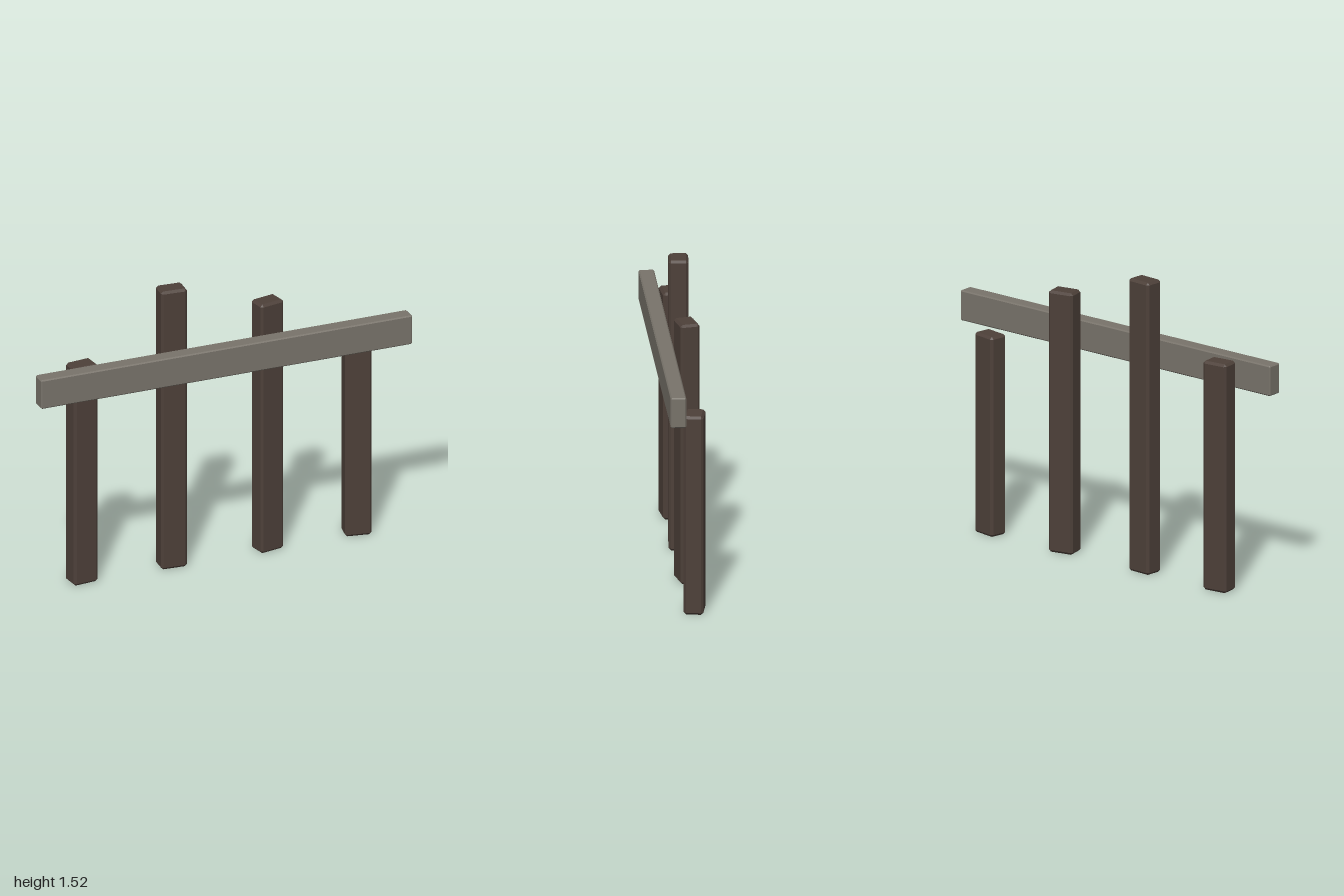
import * as THREE from 'three';
import { ConvexGeometry } from 'three/addons/geometries/ConvexGeometry.js';

// Box with flat chamfered edges: each corner gives three points
function chamferedBox(w, h, d, c) {
  const points = [];
  for (const sx of [-1, 1]) for (const sy of [-1, 1]) for (const sz of [-1, 1]) {
    const x = w / 2, y = h / 2, z = d / 2;
    points.push(
      new THREE.Vector3(sx * x, sy * (y - c), sz * (z - c)),
      new THREE.Vector3(sx * (x - c), sy * y, sz * (z - c)),
      new THREE.Vector3(sx * (x - c), sy * (y - c), sz * z)
    );
  }
  return new ConvexGeometry(points);
}

export function createModel() {
  const fence = new THREE.Group();
  fence.name = 'fence';
  const postWood = new THREE.MeshStandardMaterial({ color: 0x4d4039, flatShading: true });
  const railWood = new THREE.MeshStandardMaterial({ color: 0x78736a, flatShading: true });

  // Uneven posts, each turned slightly: x, height, turn
  const posts = [
    [-0.724, 1.19, 0.11],
    [-0.242, 1.52, -0.06],
    [0.276, 1.36, 0.2],
    [0.756, 1.04, -0.17],
  ];
  posts.forEach(([x, height, turn], i) => {
    const post = new THREE.Mesh(chamferedBox(0.137, height, 0.099, 0.012), postWood);
    post.name = `post${i + 1}`;
    post.position.set(x, height / 2, -0.039);
    post.rotation.y = turn;
    fence.add(post);
  });

  // Rail across the front of the posts
  const rail = new THREE.Mesh(chamferedBox(2, 0.157, 0.078, 0.006), railWood);
  rail.name = 'rail';
  rail.position.set(0, 1.122, 0.06);
  fence.add(rail);

  return fence;
}
